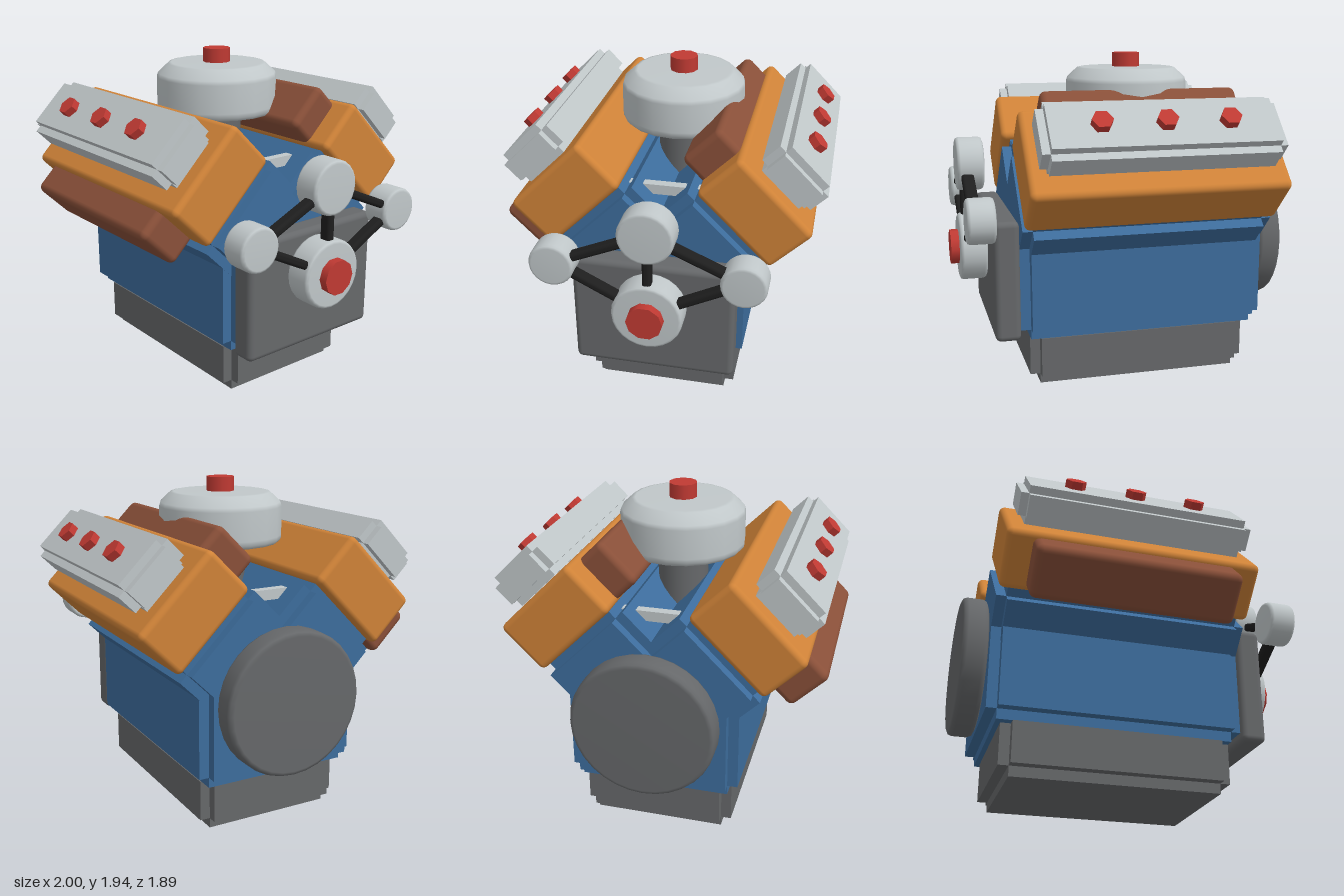
import * as THREE from 'three';
import { RoundedBoxGeometry } from 'three/addons/geometries/RoundedBoxGeometry.js';

const mat = (name, color) => {
  const m = new THREE.MeshStandardMaterial({ color });
  m.name = name;
  return m;
};

export function createModel() {
  const blue = mat('block blue', 0x3d6d9d);
  const orange = mat('head orange', 0xd08338);
  const brown = mat('manifold brown', 0x8a5039);
  const silver = mat('silver', 0xc0c7c9);
  const grey = mat('iron grey', 0x66686a);
  const red = mat('red', 0xc03a33);
  const black = mat('belt black', 0x1e1e1e);

  const engine = new THREE.Group();
  engine.name = 'engine';
  const AXIS_Z = -0.01, MID_X = -0.105;

  const add = (parent, name, geometry, material, x, y, z) => {
    const mesh = new THREE.Mesh(geometry, material);
    mesh.name = name;
    mesh.position.set(x, y, z);
    parent.add(mesh);
    return mesh;
  };
  const rounded = (parent, name, material, w, h, d, r, x, y, z) =>
    add(parent, name, new RoundedBoxGeometry(w, h, d, 3, r), material, x, y, z);

  // Box whose edges are cut by a square step of size s
  const stepped = (parent, name, material, w, h, d, s, x, y, z) => {
    const g = new THREE.Group();
    g.name = name;
    g.position.set(x, y, z);
    const t = 2 * s;
    for (const [a, b, c] of [[w, h - t, d - t], [w - t, h, d - t], [w - t, h - t, d]])
      add(g, name + 'Step', new THREE.BoxGeometry(a, b, c), material, 0, 0, 0);
    parent.add(g);
  };

  // Disc along x with softened rims
  const disc = (name, material, radius, x0, x1, y, z, bevel, sides = 24) => {
    const h = (x1 - x0) / 2, k = bevel * 0.3;
    const pts = [[0, -h], [radius - bevel, -h], [radius - k, -h + k], [radius, -h + bevel],
      [radius, h - bevel], [radius - k, h - k], [radius - bevel, h], [0, h]]
      .map(p => new THREE.Vector2(...p));
    const mesh = add(engine, name, new THREE.LatheGeometry(pts, sides), material, (x0 + x1) / 2, y, z);
    mesh.rotation.z = -Math.PI / 2;
    return mesh;
  };

  // Lower block and oil pan
  stepped(engine, 'lowerBlock', blue, 1.49, 0.66, 1.0, 0.06, MID_X, 0.63, AXIS_Z);
  stepped(engine, 'oilPan', grey, 1.34, 0.36, 0.895, 0.06, -0.09, 0.18, AXIS_Z);

  // Two banks leaning 45 degrees; local y points out along the cylinders
  for (const s of [1, -1]) {
    const bank = new THREE.Group();
    bank.name = s > 0 ? 'frontBank' : 'rearBank';
    bank.position.z = AXIS_Z;
    bank.rotation.x = s * Math.PI / 4;
    engine.add(bank);
    const mid = -0.553 * s;
    stepped(bank, 'cylinderBank', blue, 1.49, 0.8, 0.64, 0.058, MID_X, 0.757, mid);
    rounded(bank, 'cylinderHead', orange, 1.49, 0.34, 0.6, 0.035, MID_X, 1.322, mid);
    stepped(bank, 'valveCover', silver, 1.37, 0.22, 0.39, 0.045, MID_X, 1.605, mid);
    for (const x of [-0.47, -0.11, 0.25]) {
      const bolt = add(bank, 'coverBolt', new THREE.CylinderGeometry(0.06, 0.06, 0.08, 6).toNonIndexed(), red, x, 1.72, mid);
      bolt.geometry.computeVertexNormals();
      bolt.rotation.y = Math.PI / 2;
    }
    // Both manifolds sit on the +z side of their banks
    rounded(bank, 'manifold', brown, 1.19, 0.3, 0.24, 0.04, MID_X, 1.312, s > 0 ? -0.2 : 0.9);
  }

  // Intake end plates lying in the valley
  for (const x of [-0.645, 0.43])
    add(engine, 'intakePlate', new THREE.BoxGeometry(0.055, 0.06, 0.44), silver, x, 1.33, AXIS_Z);

  // Carburettor, air cleaner and its cap
  add(engine, 'carburettor', new THREE.CylinderGeometry(0.15, 0.15, 0.4, 20), grey, -0.11, 1.38, AXIS_Z);
  const cleaner = [[0, 1.555], [0.35, 1.555], [0.368, 1.575], [0.37, 1.6], [0.37, 1.77], [0.362, 1.795],
    [0.3, 1.852], [0.28, 1.856], [0, 1.858]].map(p => new THREE.Vector2(...p));
  add(engine, 'airCleaner', new THREE.LatheGeometry(cleaner, 20), silver, -0.11, 0, AXIS_Z);
  add(engine, 'airCleanerCap', new THREE.CylinderGeometry(0.083, 0.083, 0.1, 10), red, -0.11, 1.892, AXIS_Z);

  // Flywheel at one end, timing cover at the other
  disc('flywheel', grey, 0.42, -1.0, -0.85, 0.78, -0.02, 0.03, 32);
  rounded(engine, 'timingCover', grey, 0.15, 0.715, 0.95, 0.035, 0.715, 0.663, AXIS_Z);

  // Pulleys with a red crank hub
  const crank = [0.78, AXIS_Z], top = [1.29, AXIS_Z];
  const sides = [[1.055, 0.528], [1.055, -0.548]];
  disc('crankPulley', silver, 0.205, 0.79, 0.95, ...crank, 0.02);
  disc('topPulley', silver, 0.16, 0.79, 0.95, ...top, 0.02);
  for (const p of sides) disc('sidePulley', silver, 0.13, 0.79, 0.95, ...p, 0.02);
  const hub = add(engine, 'crankHub', new THREE.CylinderGeometry(0.105, 0.105, 0.07, 10), red, 0.965, ...crank);
  hub.rotation.z = -Math.PI / 2;

  // Belt runs between pulley centres
  const belt = ([y0, z0], [y1, z1]) => {
    const run = rounded(engine, 'belt', black, 0.075, 0.05, Math.hypot(y1 - y0, z1 - z0), 0.02,
      0.892, (y0 + y1) / 2, (z0 + z1) / 2);
    run.rotation.x = -Math.atan2(y1 - y0, z1 - z0);
  };
  belt(crank, top);
  for (const p of sides) {
    belt(crank, p);
    belt(top, p);
  }
  return engine;
}
